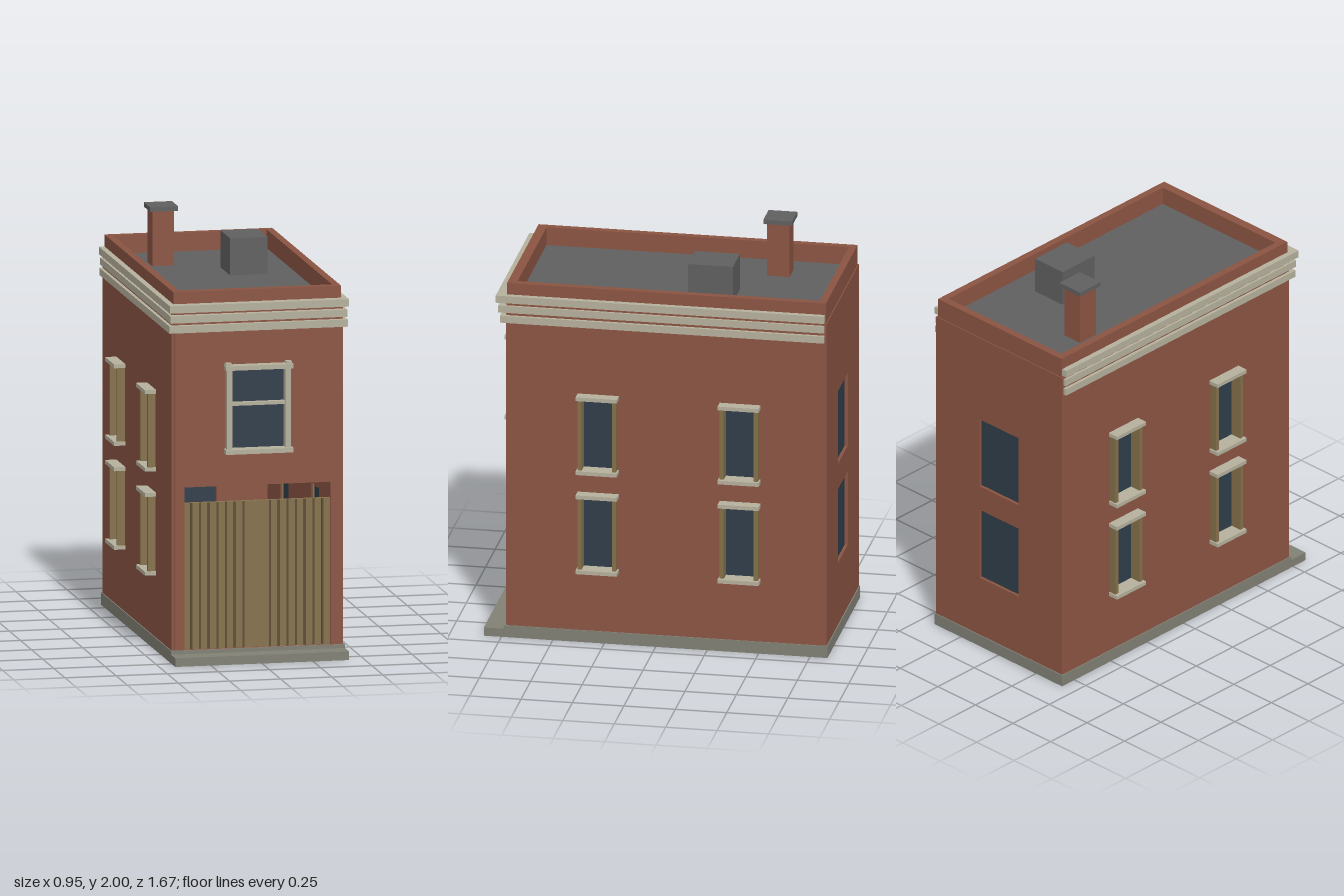
import * as THREE from 'three';

const mat = (name, color) => Object.assign(new THREE.MeshStandardMaterial({ color }), { name });

export function createModel() {
  const brick = mat('brick', 0x8a5442);
  const stone = mat('paleStone', 0xb5b09c);
  const concrete = mat('concrete', 0x808075);
  const roofGrey = mat('roofGrey', 0x5f5f5f);
  const glass = mat('glass', 0x2f3d49);
  const timber = mat('timber', 0x84704a);
  const groove = mat('darkTimber', 0x5a4b32);

  const model = new THREE.Group();
  model.name = 'townhouse';

  // Box given by its limits on each axis
  function box(name, material, x0, x1, y0, y1, z0, z1, parent = model) {
    const mesh = new THREE.Mesh(new THREE.BoxGeometry(x1 - x0, y1 - y0, z1 - z0), material);
    mesh.position.set((x0 + x1) / 2, (y0 + y1) / 2, (z0 + z1) / 2);
    mesh.name = name;
    parent.add(mesh);
    return mesh;
  }

  const rect = (P, a0, a1, b0, b1) => {
    const p = new P();
    p.moveTo(a0, b0);
    p.lineTo(a1, b0);
    p.lineTo(a1, b1);
    p.lineTo(a0, b1);
    p.closePath();
    return p;
  };

  // Upright wall with rectangular openings [a0, a1, y0, y1]
  function wall(name, a0, a1, openings, depth) {
    const shape = rect(THREE.Shape, a0, a1, 0.04, 1.7);
    openings.forEach((o) => shape.holes.push(rect(THREE.Path, ...o)));
    const mesh = new THREE.Mesh(new THREE.ExtrudeGeometry(shape, { depth, bevelEnabled: false }), brick);
    mesh.name = name;
    model.add(mesh);
    return mesh;
  }

  // Base and front step
  box('base', concrete, -0.425, 0.425, 0, 0.06, -0.835, 0.74);
  box('frontStep', concrete, -0.425, 0.425, 0, 0.042, 0.73, 0.835);

  const storeys = [[0.375, 0.75], [0.88, 1.25]];
  const bays = [0.28, -0.41];

  // Front wall with door and window openings
  wall('frontWall', -0.407, 0.407, [[-0.358, 0.358, 0.06, 0.85], [-0.135, 0.135, 1.025, 1.425]], 0.05)
    .position.z = 0.68;

  // Back wall with two plain windows
  wall('backWall', -0.418, 0.418, storeys.map(([b, t]) => [-0.13, 0.13, b, t]), 0.04)
    .position.z = -0.83;
  storeys.forEach(([b, t]) => box('backWindowPane', glass, -0.13, 0.13, b, t, -0.815, -0.805));

  // Side walls and their framed windows
  const sideOpenings = [];
  bays.forEach((z) => storeys.forEach(([b, t]) => sideOpenings.push([z - 0.088, z + 0.088, b, t])));
  for (const s of [1, -1]) {
    const w = wall('sideWall', -0.82, 0.726, sideOpenings, 0.04);
    w.rotation.y = -Math.PI / 2;
    w.position.x = s > 0 ? 0.42 : -0.38;
    const sideBox = (name, m, xa, xb, ...rest) =>
      box(name, m, Math.min(s * xa, s * xb), Math.max(s * xa, s * xb), ...rest);
    for (const z of bays) {
      for (const [b, t] of storeys) {
        sideBox('sideWindowPane', glass, 0.392, 0.4, b, t, z - 0.088, z + 0.088);
        for (const e of [1, -1]) {
          const c = z + e * 0.083;
          sideBox('sideWindowJamb', timber, 0.385, 0.458, b, t, c - 0.01, c + 0.01);
        }
        sideBox('sideWindowLintel', stone, 0.385, 0.475, t - 0.005, t + 0.014, z - 0.1, z + 0.1);
        sideBox('sideWindowSill', stone, 0.385, 0.475, b - 0.012, b + 0.007, z - 0.1, z + 0.1);
      }
    }
  }

  // Front sash window
  const sash = new THREE.Group();
  sash.name = 'frontWindow';
  model.add(sash);
  box('frontWindowPane', glass, -0.135, 0.135, 1.025, 1.425, 0.71, 0.718, sash);
  box('sashRail', stone, -0.135, 0.135, 1.24, 1.256, 0.715, 0.745, sash);
  box('frontLintel', stone, -0.165, 0.165, 1.418, 1.44, 0.715, 0.783, sash);
  box('frontSill', stone, -0.165, 0.165, 1.01, 1.032, 0.715, 0.783, sash);
  for (const s of [1, -1]) {
    box('frontJamb', stone, s * 0.143 - 0.013, s * 0.143 + 0.013, 1.03, 1.42, 0.7, 0.765, sash);
    box('lintelBlock', stone, s * 0.147 - 0.014, s * 0.147 + 0.014, 1.438, 1.45, 0.73, 0.765, sash);
  }

  // Timber door with grooves on both leaves
  const door = new THREE.Group();
  door.name = 'door';
  model.add(door);
  box('doorPanel', timber, -0.358, 0.358, 0.06, 0.77, 0.69, 0.712, door);
  for (const s of [1, -1]) {
    for (let i = 0; i < 7; i++) {
      const x = s * (0.065 + i * 0.0425);
      box('doorGroove', groove, x - 0.005, x + 0.005, 0.06, 0.77, 0.71, 0.715, door);
    }
  }

  // Cornice bands on the front and both sides
  [[1.605, 1.64, 0.436, 0.755], [1.655, 1.69, 0.432, 0.764], [1.706, 1.742, 0.438, 0.775]]
    .forEach(([b, t, x, z]) => {
      box('frontCornice', stone, -x, x, b, t, 0.715, z);
      box('leftCornice', stone, 0.4, x, b, t, -0.82, 0.716);
      box('rightCornice', stone, -x, -0.4, b, t, -0.82, 0.716);
    });

  // Flat roof inside a parapet
  box('roof', roofGrey, -0.39, 0.39, 1.67, 1.71, -0.8, 0.69);
  box('frontParapet', brick, -0.41, 0.41, 1.68, 1.8, 0.68, 0.725);
  box('backParapet', brick, -0.41, 0.41, 1.68, 1.8, -0.825, -0.79);
  for (const s of [1, -1]) {
    box('sideParapet', brick, s * 0.3925 - 0.0175, s * 0.3925 + 0.0175, 1.68, 1.8, -0.79, 0.68);
  }

  // Chimney and roof hatch
  box('chimney', brick, -0.26, -0.155, 1.7, 1.98, -0.542, -0.432);
  box('chimneyCap', roofGrey, -0.275, -0.138, 1.978, 2, -0.558, -0.418);
  box('roofHatch', roofGrey, 0.052, 0.235, 1.7, 1.89, -0.34, -0.122);

  return model;
}
